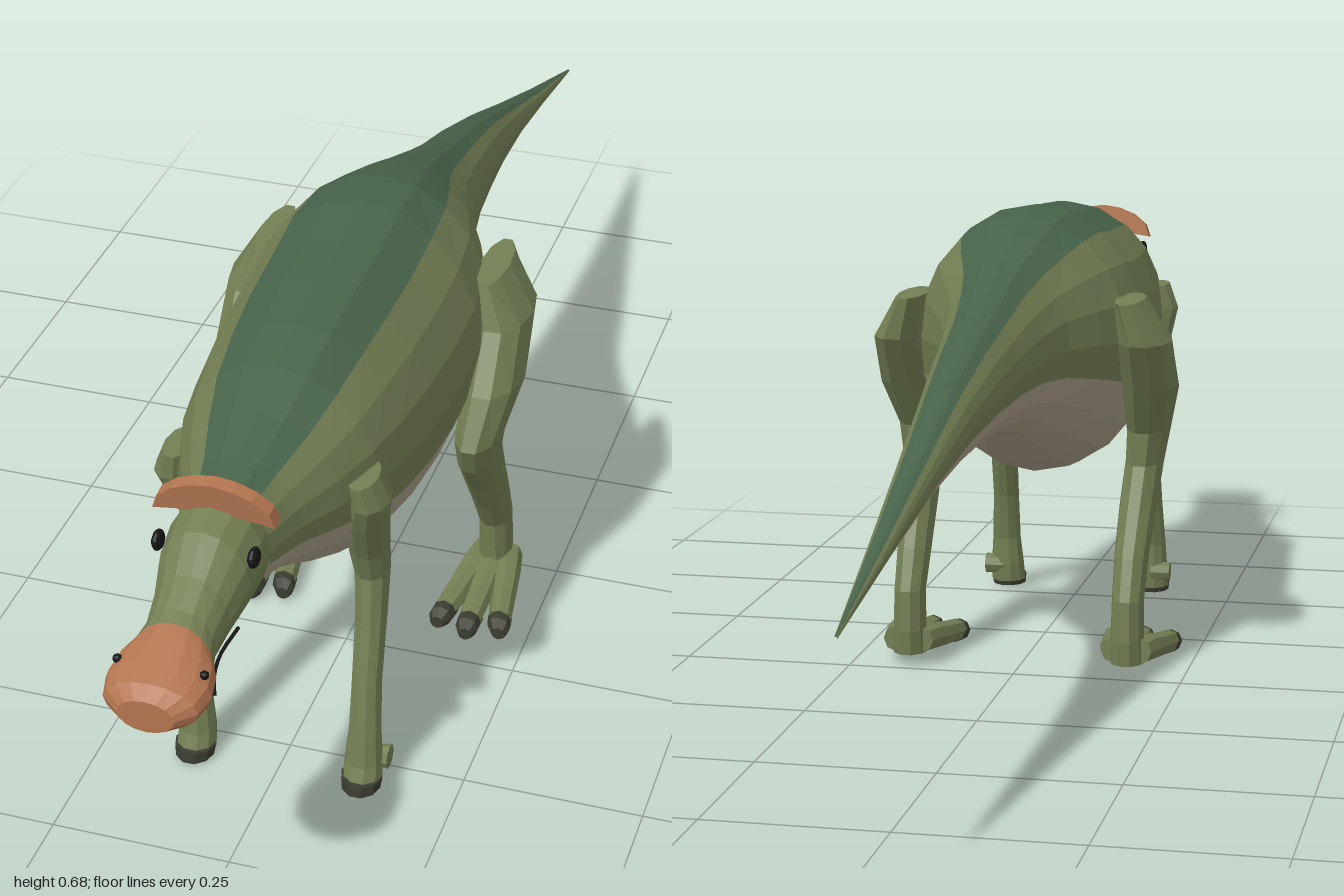
import * as THREE from 'three';

const GREEN = 0x737f54, DARK = 0x48634a, BELLY = 0xa89d86, BEAK = 0xb37550, CLAW = 0x3b3d31, BLACK = 0x161616;

function addMesh(parent, name, geometry, color) {
  const material = new THREE.MeshStandardMaterial({ color, flatShading: true });
  const mesh = new THREE.Mesh(geometry, material);
  mesh.name = name;
  parent.add(mesh);
  return mesh;
}

// Skin over rings of equal point count; from..to picks a band of columns.
function loft(rings, from = 0, to = rings[0].length, caps = true) {
  const n = rings[0].length, pos = [], index = [];
  rings.forEach(r => r.forEach(p => pos.push(...p)));
  const at = (i, j) => i * n + ((j % n) + n) % n;
  for (let i = 0; i < rings.length - 1; i++) {
    for (let j = from; j < to; j++) {
      index.push(at(i, j), at(i, j + 1), at(i + 1, j));
      index.push(at(i, j + 1), at(i + 1, j + 1), at(i + 1, j));
    }
  }
  if (caps) {
    const last = rings.length - 1;
    for (let j = 1; j < n - 1; j++) {
      index.push(at(0, 0), at(0, j + 1), at(0, j));
      index.push(at(last, 0), at(last, j), at(last, j + 1));
    }
  }
  const g = new THREE.BufferGeometry();
  g.setAttribute('position', new THREE.Float32BufferAttribute(pos, 3));
  g.setIndex(index);
  g.computeVertexNormals();
  return g;
}

// Upright ring facing z (list rings from front to back).
const ringZ = (x, z, top, bottom, half, n) => Array.from({ length: n }, (_, j) => {
  const a = j / n * Math.PI * 2;
  return [x + half * Math.sin(a), (top + bottom) / 2 + (top - bottom) / 2 * Math.cos(a), z];
});

// Level ring facing y (list rings from the ground up).
const ringY = (x, y, z, rx, rz, n) => Array.from({ length: n }, (_, j) => {
  const a = (j + 0.5) / n * Math.PI * 2;
  return [x + rx * Math.sin(a), y, z + rz * Math.cos(a)];
});

function addBody(root) {
  // z, top, bottom, half width
  const rings = [
    [0.725, 0.575, 0.432, 0.062], [0.66, 0.588, 0.412, 0.082], [0.59, 0.61, 0.375, 0.112],
    [0.52, 0.635, 0.332, 0.136], [0.44, 0.653, 0.292, 0.15], [0.35, 0.664, 0.272, 0.161],
    [0.25, 0.67, 0.264, 0.167], [0.16, 0.68, 0.275, 0.169], [0.07, 0.674, 0.305, 0.157],
    [0, 0.655, 0.338, 0.13], [-0.07, 0.63, 0.37, 0.097], [-0.14, 0.605, 0.39, 0.077],
    [-0.23, 0.574, 0.402, 0.062], [-0.33, 0.547, 0.406, 0.052], [-0.45, 0.508, 0.402, 0.04],
    [-0.6, 0.452, 0.388, 0.028], [-0.78, 0.388, 0.356, 0.016], [-1, 0.315, 0.311, 0.002],
  ].map(([z, t, b, w]) => ringZ(0, z, t, b, w, 20));
  addMesh(root, 'back', loft(rings, -2, 2, false), DARK);
  addMesh(root, 'leftFlank', loft(rings, 2, 6, false), GREEN);
  addMesh(root, 'rightFlank', loft(rings, 14, 18, false), GREEN);
  addMesh(root, 'belly', loft(rings, 6, 14, false), BELLY);
}

function addHead(root) {
  const head = new THREE.Group();
  head.name = 'head';
  root.add(head);
  const skull = [
    [0.92, 0.497, 0.419, 0.054], [0.88, 0.511, 0.419, 0.046], [0.84, 0.533, 0.422, 0.05],
    [0.795, 0.566, 0.428, 0.06], [0.75, 0.579, 0.432, 0.064], [0.7, 0.57, 0.44, 0.058],
  ].map(([z, t, b, w]) => ringZ(0, z, t, b, w, 16));
  addMesh(head, 'skull', loft(skull), GREEN);
  const beak = [
    [1, 0.463, 0.418, 0.036], [0.983, 0.477, 0.414, 0.06], [0.955, 0.487, 0.413, 0.067],
    [0.925, 0.497, 0.414, 0.062], [0.9, 0.505, 0.418, 0.049],
  ].map(([z, t, b, w]) => ringZ(0, z, t, b, w, 16));
  addMesh(head, 'beak', loft(beak), BEAK);

  // Arched crest across the back of the head
  const arch = new THREE.Shape();
  arch.moveTo(-0.08, 0);
  [[-0.073, 0.02], [-0.052, 0.037], [-0.027, 0.047], [0, 0.051], [0.027, 0.047], [0.052, 0.037], [0.073, 0.02],
    [0.08, 0], [0.04, 0.006], [0, 0.006], [-0.04, 0.006]].forEach(p => arch.lineTo(...p));
  const crest = addMesh(head, 'crest', new THREE.ExtrudeGeometry(arch, { depth: 0.02, bevelEnabled: false }), BEAK);
  crest.position.set(0, 0.563, 0.736);
  crest.rotation.x = 0.12;

  for (const s of [1, -1]) {
    const eye = addMesh(head, 'eye', new THREE.SphereGeometry(0.014, 10, 8), BLACK);
    eye.scale.x = 0.55;
    eye.position.set(s * 0.062, 0.535, 0.785);
    const nostril = addMesh(head, 'nostril', new THREE.SphereGeometry(0.006, 8, 6), BLACK);
    nostril.position.set(s * 0.055, 0.474, 0.945);
    const mouthPath = new THREE.CatmullRomCurve3([[0.065, 0.44, 0.94], [0.053, 0.443, 0.91],
      [0.047, 0.447, 0.87], [0.052, 0.452, 0.82]].map(([x, y, z]) => new THREE.Vector3(s * x, y, z)));
    addMesh(head, 'mouthLine', new THREE.TubeGeometry(mouthPath, 8, 0.0025, 5), BLACK);
  }
}

function addFrontLeg(root, s) {
  const leg = new THREE.Group();
  leg.name = s > 0 ? 'leftFrontLeg' : 'rightFrontLeg';
  root.add(leg);
  // x, y, z, half width, half depth
  const rings = [
    [0.12, 0.012, 0.547, 0.028, 0.03], [0.12, 0.04, 0.54, 0.027, 0.026], [0.121, 0.085, 0.537, 0.023, 0.023],
    [0.119, 0.16, 0.522, 0.021, 0.024], [0.117, 0.25, 0.494, 0.022, 0.028], [0.114, 0.315, 0.477, 0.024, 0.032],
    [0.114, 0.36, 0.49, 0.027, 0.035], [0.122, 0.43, 0.525, 0.03, 0.037], [0.132, 0.475, 0.542, 0.028, 0.041],
    [0.125, 0.512, 0.546, 0.02, 0.039],
  ].map(([x, y, z, rx, rz]) => ringY(s * x, y, z, rx, rz, 10));
  addMesh(leg, 'frontLimb', loft(rings), GREEN);
  const hoof = [[0.12, 0.004, 0.553, 0.027, 0.031], [0.12, 0.02, 0.55, 0.029, 0.032]]
    .map(([x, y, z, rx, rz]) => ringY(s * x, y, z, rx, rz, 10));
  addMesh(leg, 'hoof', loft(hoof), CLAW);
  const thumb = addMesh(leg, 'sideToe', new THREE.CylinderGeometry(0.014, 0.017, 0.03, 8), GREEN);
  thumb.rotation.z = Math.PI / 2;
  thumb.position.set(s * 0.138, 0.04, 0.528);
}

function addHindLeg(root, s) {
  const leg = new THREE.Group();
  leg.name = s > 0 ? 'leftHindLeg' : 'rightHindLeg';
  root.add(leg);
  const rings = [
    [0.165, 0.018, 0.04, 0.026, 0.034], [0.165, 0.055, 0.036, 0.025, 0.034], [0.165, 0.115, 0.04, 0.024, 0.035],
    [0.165, 0.175, 0.072, 0.026, 0.041], [0.167, 0.24, 0.115, 0.028, 0.047], [0.17, 0.3, 0.155, 0.029, 0.056],
    [0.174, 0.35, 0.167, 0.033, 0.07], [0.182, 0.42, 0.125, 0.043, 0.077], [0.182, 0.495, 0.073, 0.04, 0.075],
    [0.162, 0.557, 0.06, 0.021, 0.069],
  ].map(([x, y, z, rx, rz]) => ringY(s * x, y, z, rx, rz, 10));
  addMesh(leg, 'hindLimb', loft(rings), GREEN);

  // Three splayed toes, each tipped with a blunt claw
  for (const t of [-1, 0, 1]) {
    const reach = t === 0 ? 0.205 : 0.19;
    const section = ([k, cy, r]) => ringZ(s * (0.165 + t * (0.018 + 0.028 * k)), 0.025 + (reach - 0.025) * k, cy + r, cy - r, r, 8);
    addMesh(leg, 'toe', loft([[0.85, 0.02, 0.017], [0.55, 0.026, 0.019], [0.25, 0.034, 0.021], [0, 0.038, 0.02]].map(section)), GREEN);
    addMesh(leg, 'claw', loft([[1, 0.013, 0.01], [0.93, 0.017, 0.017], [0.8, 0.019, 0.018]].map(section)), CLAW);
  }
}

export function createModel() {
  const root = new THREE.Group();
  root.name = 'dinosaur';
  addBody(root);
  addHead(root);
  for (const s of [1, -1]) {
    addFrontLeg(root, s);
    addHindLeg(root, s);
  }
  return root;
}
